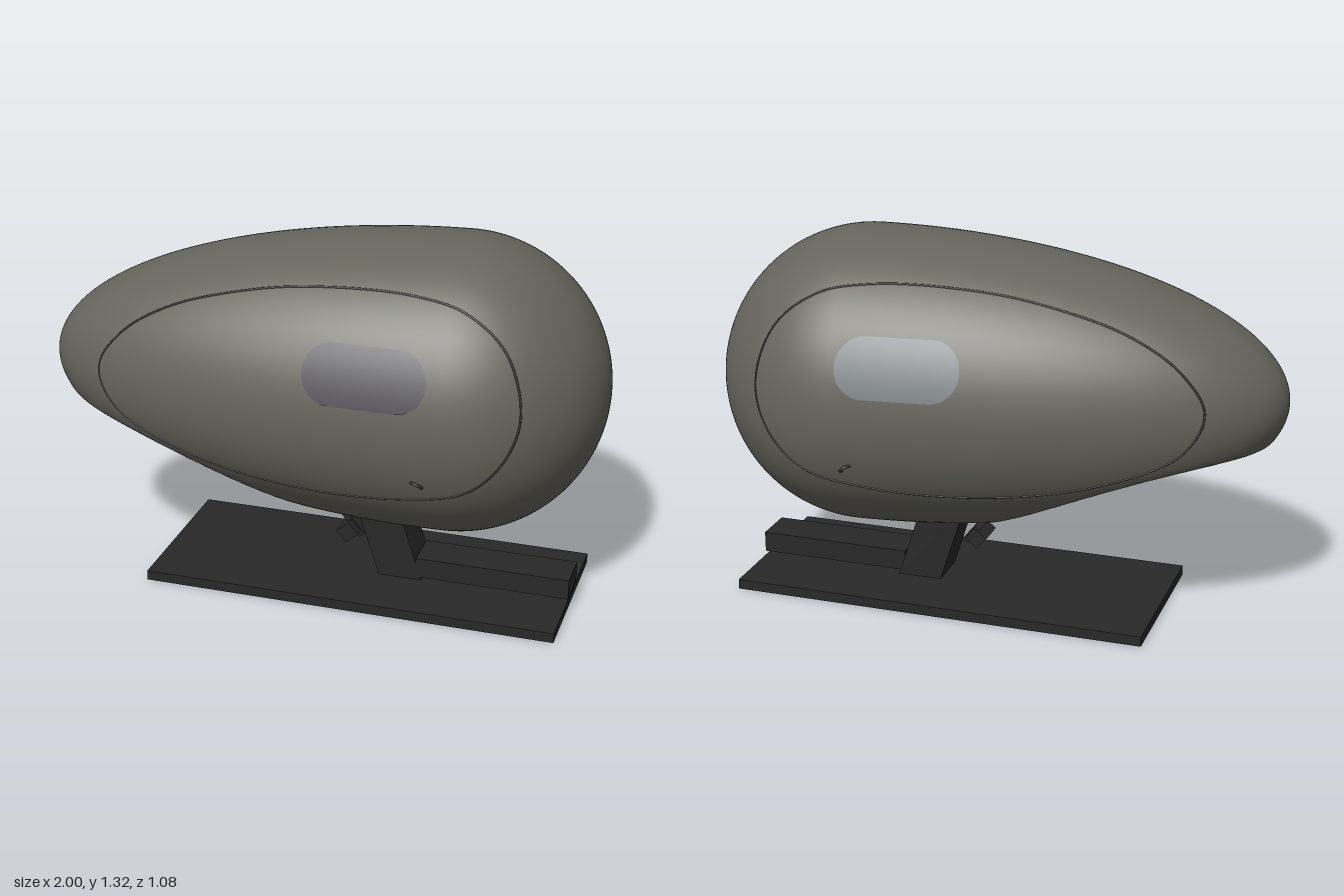
import * as THREE from 'three';
import { mergeVertices } from 'three/addons/utils/BufferGeometryUtils.js';
import { ParametricGeometry } from 'three/addons/geometries/ParametricGeometry.js';

const NOSE = 1.478, R = 0.53; // egg: half ellipsoid nose, hemisphere tail
const CENTRE = [0.47, 0.795, 0.01];

const mat = (color, side = THREE.FrontSide) =>
  new THREE.MeshStandardMaterial({ color, side });
const shell = mat(0x66655c), dark = mat(0x282828), seamMat = mat(0x33332f);

function add(parent, name, geometry, material) {
  const mesh = new THREE.Mesh(geometry, material);
  mesh.name = name;
  parent.add(mesh);
  return mesh;
}

// Egg radius along its axis, and a point on its flank
const radius = (s) => R * Math.sqrt(Math.max(0, 1 - (s / (s < 0 ? NOSE : R)) ** 2));
function flank(s, y, side, lift = 0, target = new THREE.Vector3()) {
  const r = radius(s) + lift;
  return target.set(s, y, side * Math.sqrt(Math.max(0, r * r - y * y)));
}

// Egg of revolution with a concave scoop under the nose
function podGeometry() {
  const profile = [];
  for (let i = 0; i <= 120; i++) {
    const a = Math.PI * (1 - i / 120);
    const s = Math.cos(a) * (Math.cos(a) < 0 ? NOSE : R);
    profile.push(new THREE.Vector2(R * Math.sin(a), s));
  }
  let geo = new THREE.LatheGeometry(profile, 112).rotateZ(-Math.PI / 2);
  geo.deleteAttribute('uv');
  geo.deleteAttribute('normal');
  const p = geo.attributes.position, k = 0.025;
  for (let i = 0; i < p.count; i++) {
    const d = Math.max(0, p.getX(i) + CENTRE[0] + 0.95);
    const floor = 0.645 - 0.368 * d ** 1.82 - CENTRE[1];
    const y = p.getY(i);
    const h = Math.max(k - Math.abs(y - floor), 0) / k;
    p.setY(i, Math.max(y, floor) + h * h * k * 0.25);
  }
  geo = mergeVertices(geo, 1e-5);
  geo.computeVertexNormals();
  return geo;
}

// Pill-shaped pane laid on the flank
function paneGeometry(side) {
  return new ParametricGeometry((u, v, target) => {
    const a = -side * u * Math.PI * 2, c = Math.cos(a);
    const rim = Math.max(v, 0.001);
    flank(-0.235 + rim * (c * 0.1 + Math.sign(c) * 0.112),
      0.175 + rim * Math.sin(a) * 0.1, side, 0.004, target);
  }, 64, 10);
}

// Door outline: distance along the axis, height above it
const DOOR = [
  [0.28, 0.08], [0.22, 0.27], [0.08, 0.38], [-0.1, 0.415], [-0.4, 0.412],
  [-0.67, 0.375], [-0.97, 0.285], [-1.15, 0.17], [-1.23, 0.04], [-1.16, -0.1],
  [-0.87, -0.225], [-0.47, -0.28], [-0.1, -0.26], [0.12, -0.2], [0.24, -0.07],
];
function seamGeometry(side) {
  const outline = new THREE.CatmullRomCurve3(
    DOOR.map(([s, y]) => new THREE.Vector3(s, y, 0)), true);
  const path = new THREE.CatmullRomCurve3(
    outline.getSpacedPoints(90).slice(0, -1).map((q) => flank(q.x, q.y, side, -0.002)), true);
  return new THREE.TubeGeometry(path, 220, 0.0045, 6, true);
}

// Box sheared along x: rises from bottom to top, shifted by lean
function leaningBox(w, h, d, lean) {
  const geo = new THREE.BoxGeometry(w, h, d);
  const p = geo.attributes.position;
  for (let i = 0; i < p.count; i++) p.setX(i, p.getX(i) + lean * p.getY(i) / h);
  geo.computeVertexNormals();
  return geo;
}

export function createModel() {
  const model = new THREE.Group();
  model.name = 'eggPodOnStand';

  // Pod
  const pod = new THREE.Group();
  pod.name = 'pod';
  pod.position.set(...CENTRE);
  pod.rotation.y = -0.115;
  model.add(pod);
  add(pod, 'podShell', podGeometry(), shell);

  // Doors, windows and handles on both flanks
  for (const side of [1, -1]) {
    const label = side > 0 ? 'front' : 'back';
    add(pod, label + 'DoorSeam', seamGeometry(side), seamMat);
    add(pod, label + 'Window', paneGeometry(side),
      mat(side > 0 ? 0x55535a : 0x7c8286, THREE.DoubleSide));
    const handle = add(pod, label + 'DoorHandle',
      new THREE.TorusGeometry(0.02, 0.005, 8, 24), seamMat);
    flank(-0.05, -0.185, side, 0, handle.position);
    handle.lookAt(handle.position.clone().multiplyScalar(2));
  }

  // Stand, turned slightly more than the pod
  const stand = new THREE.Group();
  stand.name = 'stand';
  stand.position.set(0.155, 0, -0.022);
  stand.rotation.y = -0.18;
  model.add(stand);
  add(stand, 'basePlate', new THREE.BoxGeometry(1.51, 0.036, 0.624), dark)
    .position.y = 0.018;
  add(stand, 'post', leaningBox(0.16, 0.31, 0.155, -0.1), dark)
    .position.set(0.09, 0.185, 0.0);
  add(stand, 'footBar', new THREE.BoxGeometry(0.56, 0.075, 0.15), dark)
    .position.set(0.478, 0.086, 0.005);

  // Brace and latch on the nose side of the post
  const brace = add(stand, 'brace', new THREE.BoxGeometry(0.025, 0.22, 0.06), dark);
  brace.position.set(-0.085, 0.255, 0.02);
  brace.rotation.z = 0.68;
  const latch = add(stand, 'latch', new THREE.BoxGeometry(0.06, 0.055, 0.11), dark);
  latch.position.set(-0.06, 0.19, 0.03);
  latch.rotation.z = 0.68;

  return model;
}
